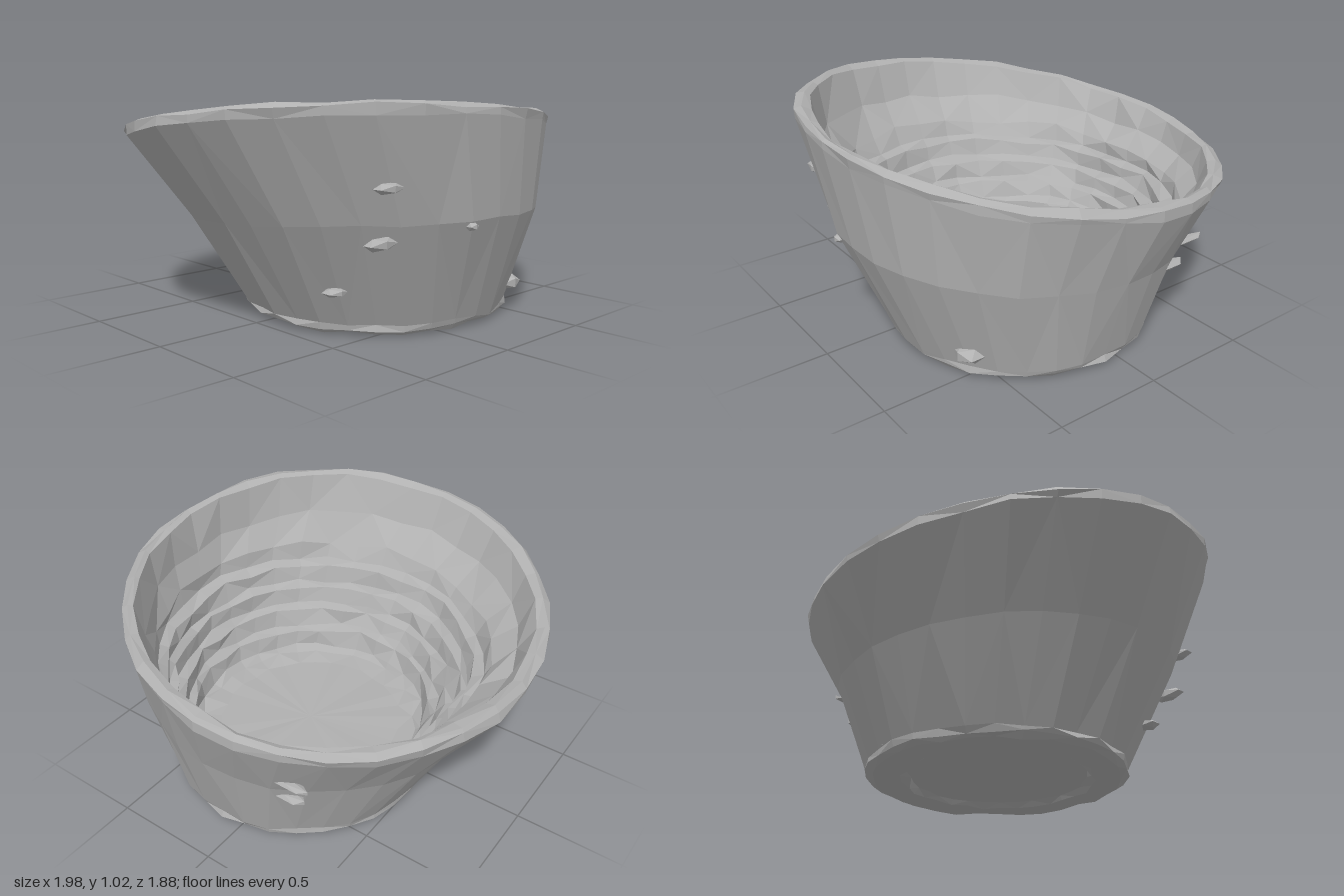
import * as THREE from 'three';

const SEG = 32;

// small seeded random, -1..1
let seed = 11;
const rnd = () => {
  seed = (seed * 16807) % 2147483647;
  return (seed / 2147483647) * 2 - 1;
};

// Ring: centre x/z, radii x/z, height, tilt along x and z, radial and vertical jitter
const ring = (cx, cz, rx, rz, y, tx = 0, tz = 0, jr = 0, jy = 0) => {
  const pts = [];
  for (let j = 0; j < SEG; j++) {
    const a = (j / SEG) * Math.PI * 2;
    const k = 1 + rnd() * jr;
    const x = cx + Math.cos(a) * rx * k;
    const z = cz + Math.sin(a) * rz * k;
    pts.push([x, Math.max(0, y + tx * x + tz * z + rnd() * jy), z]);
  }
  return pts;
};

// Skin a list of rings into a faceted surface
const skin = (rings) => {
  const pos = [];
  for (let i = 0; i < rings.length - 1; i++) {
    for (let j = 0; j < SEG; j++) {
      const k = (j + 1) % SEG;
      const a = rings[i][j], b = rings[i + 1][j], c = rings[i + 1][k], d = rings[i][k];
      if ((i + j) % 2) pos.push(...a, ...b, ...c, ...a, ...c, ...d);
      else pos.push(...a, ...b, ...d, ...b, ...c, ...d);
    }
  }
  const g = new THREE.BufferGeometry();
  g.setAttribute('position', new THREE.Float32BufferAttribute(pos, 3));
  g.computeVertexNormals();
  return g;
};

export function createModel() {
  const group = new THREE.Group();
  const stone = new THREE.MeshStandardMaterial({ color: 0xb0b0b0, flatShading: true, side: THREE.DoubleSide });
  stone.name = 'grey stone';
  const add = (name, geometry) => {
    const m = new THREE.Mesh(geometry, stone);
    m.name = name;
    group.add(m);
    return m;
  };

  // underside: shallow hollow inside a rounded foot
  const foot = ring(0.17, 0.09, 0.63, 0.615, 0.055, 0, 0, 0.015, 0.006);
  add('base', skin([
    ring(0.16, 0.09, 0.001, 0.001, 0.035),
    ring(0.16, 0.09, 0.42, 0.42, 0.03, 0, 0, 0.03, 0.003),
    ring(0.16, 0.09, 0.45, 0.45, 0.008, 0, 0, 0.03, 0.006),
    ring(0.17, 0.09, 0.59, 0.58, 0.01, 0, 0, 0.015, 0.008),
    ring(0.17, 0.09, 0.625, 0.61, 0.03, 0, 0, 0.015, 0.006),
    foot,
  ]));

  // outer wall leaning towards the back right, with a seam halfway
  const tilt = [-0.08, 0.13];
  const lip = ring(0, 0, 0.985, 0.94, 0.82, ...tilt, 0.01, 0.008);
  add('outerWall', skin([
    foot,
    ring(0.085, 0.075, 0.805, 0.805, 0.46, -0.03, 0.07, 0.008, 0.006),
    lip,
  ]));

  // tilted worn rim
  const rimInner = ring(0.005, 0.005, 0.925, 0.88, 0.862, ...tilt, 0.012, 0.008);
  add('rim', skin([
    lip,
    ring(0, 0, 0.988, 0.94, 0.855, ...tilt, 0.012, 0.01),
    ring(0, 0, 0.96, 0.915, 0.874, ...tilt, 0.008, 0.008),
    rimInner,
  ]));

  // upper inner wall and its lower slope
  const ledge = ring(0.06, 0.05, 0.78, 0.775, 0.62, -0.04, 0.06, 0.025, 0.02);
  add('innerWall', skin([
    rimInner,
    ring(0.02, 0.02, 0.87, 0.845, 0.71, -0.06, 0.09, 0.015, 0.015),
    ledge,
  ]));

  // rough terraces stepping down to the floor
  const steps = [ledge];
  const N = 5;
  for (let s = 1; s <= N; s++) {
    const t = s / N, f = 1 - t;
    const cx = 0.06 + 0.08 * t, cz = 0.05 + 0.03 * t;
    const r = 0.78 - 0.26 * t, y = 0.62 - 0.44 * t;
    steps.push(ring(cx, cz, r + 0.035, r + 0.03, y + 0.02, -0.04 * f, 0.06 * f, 0.018, 0.012));
    steps.push(ring(cx, cz, r, r - 0.01, y, -0.04 * f, 0.06 * f, 0.025, 0.01));
  }
  add('terraces', skin(steps));

  // floor
  add('floor', skin([
    steps[steps.length - 1],
    ring(0.14, 0.08, 0.44, 0.43, 0.165, 0, 0, 0.02, 0.004),
    ring(0.14, 0.08, 0.001, 0.001, 0.165),
  ]));

  // loose flakes on the outside: x, y, z, half sizes
  [
    [-0.45, 0.68, 0.76, 0.08, 0.025, 0.04],
    [-0.42, 0.45, 0.69, 0.09, 0.03, 0.04],
    [-0.45, 0.22, 0.46, 0.06, 0.02, 0.05],
    [-0.07, 0.5, 0.86, 0.03, 0.02, 0.03],
    [0.52, 0.13, 0.6, 0.08, 0.04, 0.07],
    [0.77, 0.36, -0.28, 0.04, 0.02, 0.1],
    [0.82, 0.49, -0.32, 0.03, 0.015, 0.12],
    [0.25, 0.08, -0.49, 0.1, 0.04, 0.04],
  ].forEach(([x, y, z, sx, sy, sz]) => {
    const flake = add('flake', new THREE.IcosahedronGeometry(1, 0));
    flake.scale.set(sx, sy, sz);
    flake.position.set(x, y, z);
  });

  return group;
}
